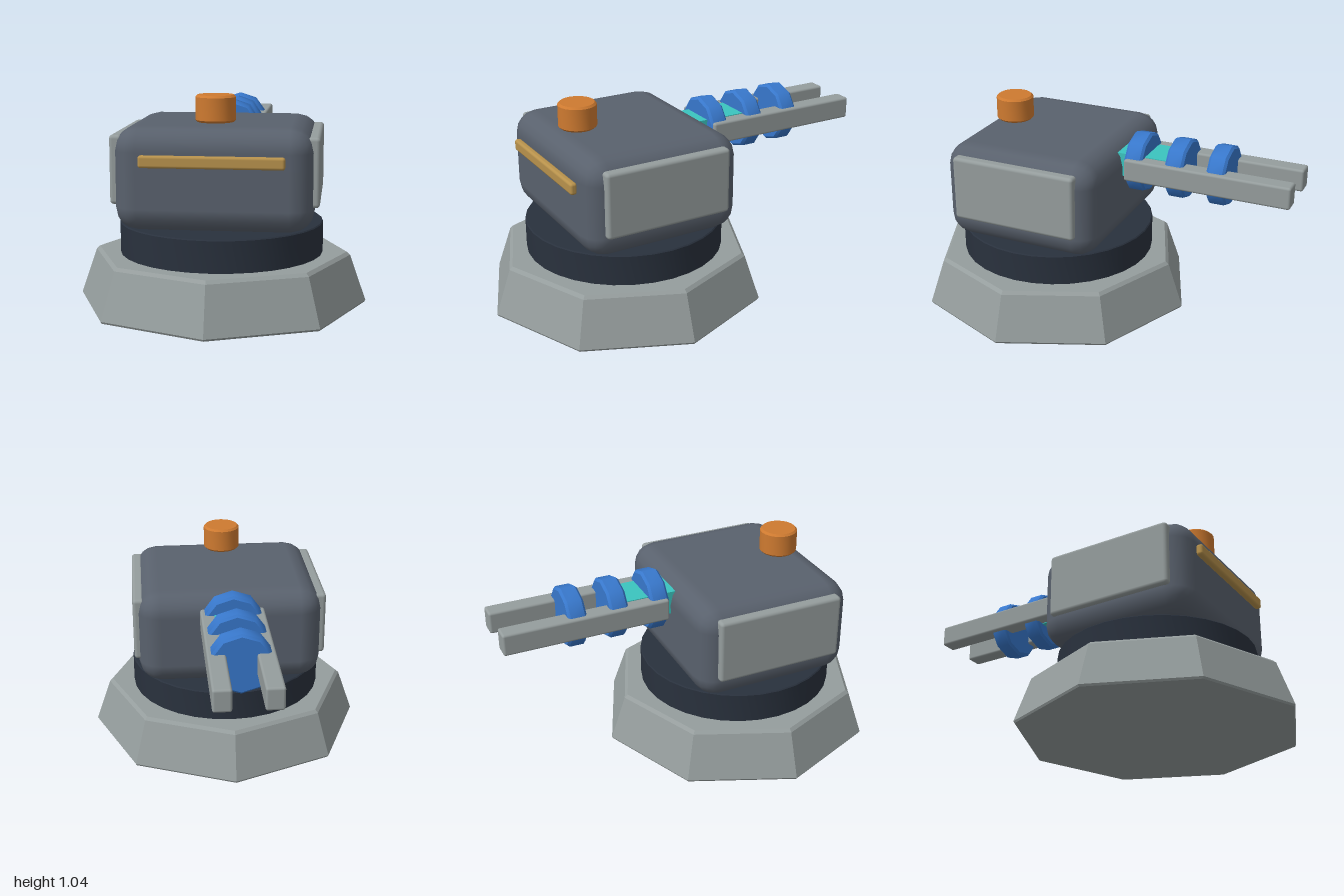
import * as THREE from 'three';
import { toCreasedNormals } from 'three/addons/utils/BufferGeometryUtils.js';
import { RoundedBoxGeometry } from 'three/addons/geometries/RoundedBoxGeometry.js';

const paint = (name, color, flatShading = false) => {
  const m = new THREE.MeshStandardMaterial({ color, flatShading });
  m.name = name;
  return m;
};

// Upright disc with chamfered rims, centred on its own middle
function disc(radius, height, sides, bevel) {
  const h = height / 2;
  const profile = [
    [0, -h], [radius - bevel, -h], [radius, -h + bevel],
    [radius, h - bevel], [radius - bevel, h], [0, h],
  ].map(([x, y]) => new THREE.Vector2(x, y));
  return toCreasedNormals(new THREE.LatheGeometry(profile, sides), 0.7);
}

export function createModel() {
  const model = new THREE.Group();
  model.name = 'turret';
  const grey = paint('lightGrey', 0x959d9d);
  const slate = paint('slateGrey', 0x59616d);
  const dark = paint('darkNavy', 0x29313d);
  const orange = paint('orange', 0xce7a30);
  const gold = paint('gold', 0xb8924c);
  const blue = paint('blue', 0x3878cc);
  const cyan = paint('cyan', 0x3bc4bf);
  const midZ = 0.285;   // turning axis
  const gunY = 0.796;   // barrel axis

  const add = (name, geometry, material, x, y, z) => {
    const mesh = new THREE.Mesh(geometry, material);
    mesh.name = name;
    mesh.position.set(x, y, z);
    model.add(mesh);
    return mesh;
  };
  const box = (w, h, d, r, seg = 2) => new RoundedBoxGeometry(w, h, d, seg, r);

  // Eight-sided sloping base
  const baseProfile = [[0, 0], [0.708, 0], [0.714, 0.01], [0.635, 0.237], [0.618, 0.252], [0, 0.252]]
    .map(([x, y]) => new THREE.Vector2(x, y));
  const baseGeometry = toCreasedNormals(new THREE.LatheGeometry(baseProfile, 8), 0.2);
  add('base', baseGeometry, grey, 0, 0, midZ);

  // Turntable and rounded housing
  add('turntable', disc(0.5, 0.165, 32, 0.005), dark, 0, 0.325, midZ);
  add('housing', box(0.936, 0.494, 0.82, 0.115), slate, 0, 0.653, midZ);

  // Front sight slit and the knob hovering just above the roof
  add('sightSlit', box(0.672, 0.058, 0.035, 0.013), gold, 0, 0.748, 0.708);
  add('roofKnob', disc(0.095, 0.126, 24, 0.01), orange, 0, 0.978, 0.525);

  // Armour panels and barrel rails, mirrored
  for (const [side, s] of [['left', 1], ['right', -1]]) {
    add(side + 'Panel', box(0.06, 0.328, 0.656, 0.018), grey, s * 0.461, 0.692, midZ + 0.003);
    add(side + 'Rail', box(0.088, 0.112, 0.842, 0.012), grey, s * 0.115, gunY, -0.579);
  }

  // Glowing core between the rails
  add('energyCore', new THREE.BoxGeometry(0.188, 0.12, 0.36), cyan, 0, gunY, -0.23);

  // Ten-sided coils along the barrel
  const coil = disc(0.152, 0.094, 10, 0.012).rotateX(Math.PI / 2);
  [-0.199, -0.411, -0.623].forEach((z, i) => add('coil' + (i + 1), coil, blue, 0, gunY, z));

  return model;
}
